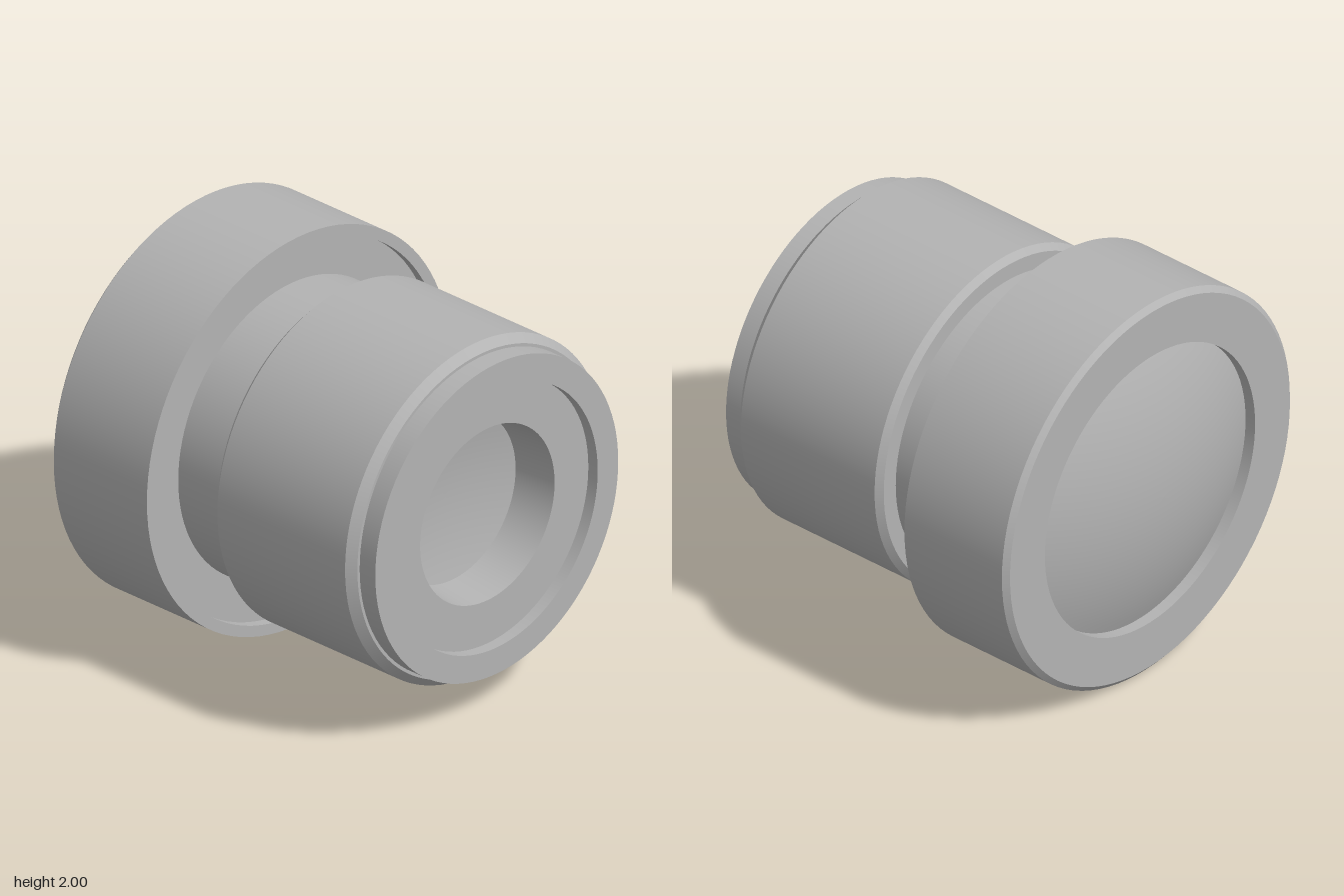
import * as THREE from 'three';
import { mergeGeometries } from 'three/addons/utils/BufferGeometryUtils.js';

const SEGMENTS = 96;
const grey = new THREE.MeshStandardMaterial({ color: 0xb3b3b3 });
grey.name = 'grey';

// Lathe around the z axis; profile points are [radius, z], running from back to front on the outside
const lathe = (points) =>
  new THREE.LatheGeometry(points.map(([r, z]) => new THREE.Vector2(r, z)), SEGMENTS).rotateX(Math.PI / 2);

// One lathe band per profile segment keeps every edge crisp
const turned = (points) =>
  mergeGeometries(points.slice(1).map((p, i) => lathe([points[i], p])));

// Spherical cap profile from the axis to the rim
function capProfile(radius, rimZ, apexZ, steps = 16) {
  const sag = Math.abs(apexZ - rimZ);
  const R = (radius * radius + sag * sag) / (2 * sag);
  const dir = Math.sign(rimZ - apexZ);
  return Array.from({ length: steps + 1 }, (_, i) => {
    const r = (radius * i) / steps;
    return [r, apexZ + dir * (R - Math.sqrt(R * R - r * r))];
  });
}

export function createModel() {
  const group = new THREE.Group();
  group.name = 'lensBarrel';
  const add = (name, geometry) => {
    const mesh = new THREE.Mesh(geometry, grey);
    mesh.name = name;
    mesh.position.y = 1;
    group.add(mesh);
  };

  // Convex rear glass, seated slightly inside the housing
  add('rearLens', lathe(capProfile(0.73, -0.842, -0.985)));

  // Wide rear housing with a chamfered back and a shallow front recess
  add('rearHousing', turned([
    [0.73, -0.84], [0.73, -0.9], [0.972, -0.9], [1, -0.875],
    [1, -0.28], [0.945, -0.28], [0.945, -0.33], [0.74, -0.33],
  ]));

  // Narrow neck
  add('neck', turned([[0.742, -0.33], [0.742, 0]]));

  // Main barrel, chamfered at both ends
  add('barrel', turned([
    [0.742, 0], [0.825, 0], [0.855, 0.03], [0.855, 0.845],
    [0.815, 0.885], [0.8, 0.885],
  ]));

  // Front rim with recessed face and tapered opening
  add('frontRim', turned([
    [0.8, 0.885], [0.8, 0.985], [0.665, 0.985], [0.665, 0.925],
    [0.443, 0.925], [0.418, 0.7],
  ]));

  // Concave front glass
  add('frontLens', lathe(capProfile(0.418, 0.7, 0.655).reverse()));

  return group;
}
